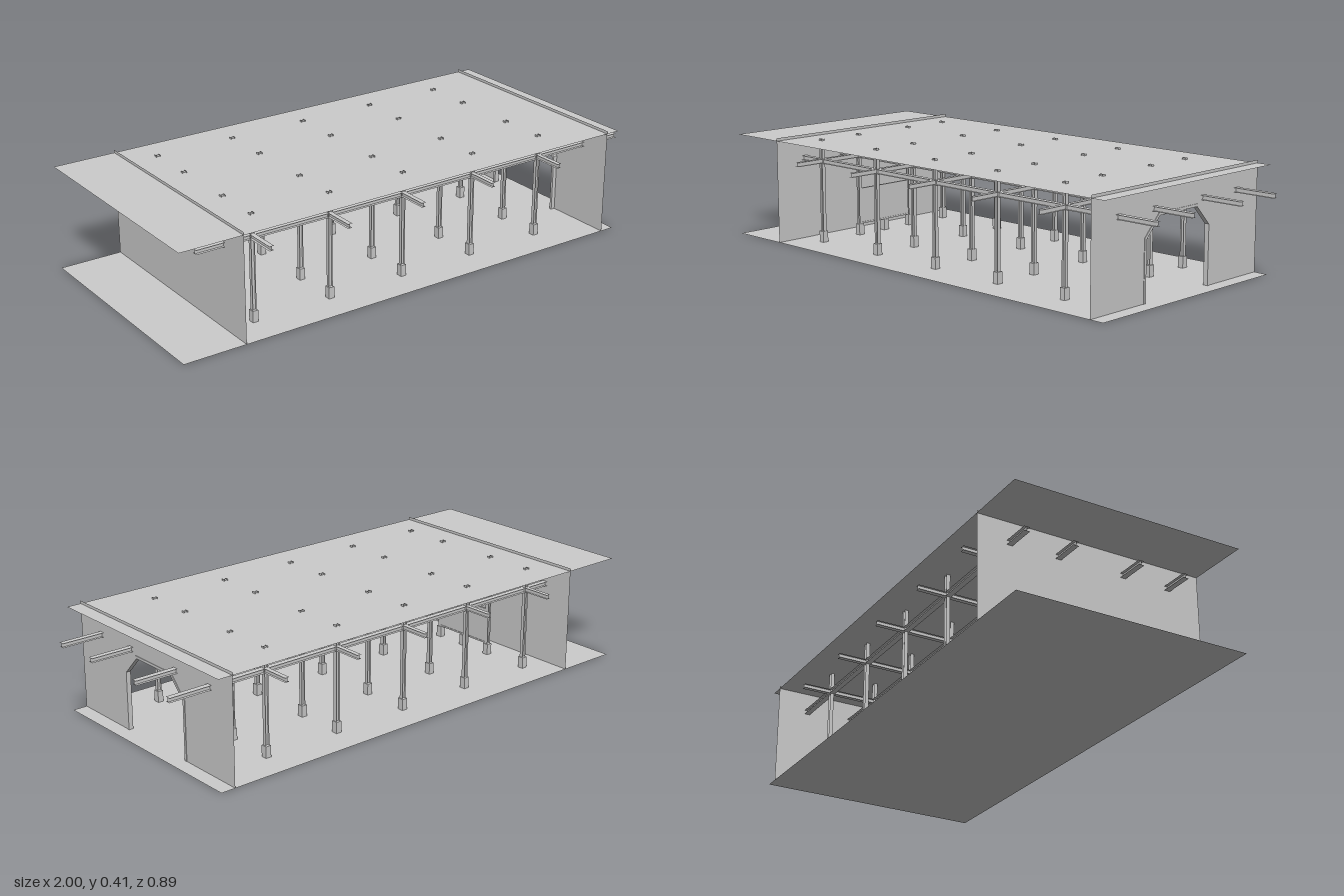
import * as THREE from 'three';
import { mergeGeometries } from 'three/addons/utils/BufferGeometryUtils.js';

const grey = new THREE.MeshStandardMaterial({ color: 0xcccccc, side: THREE.DoubleSide, flatShading: true });
const light = new THREE.MeshStandardMaterial({ color: 0xffffff });

// Thin-sheet I section running along x: two flanges and a web, open at the ends
function iSection(length, width, height) {
  const flange = y => new THREE.PlaneGeometry(length, width).rotateX(-Math.PI / 2).translate(0, y, 0);
  return mergeGeometries([flange(height / 2), flange(-height / 2), new THREE.PlaneGeometry(length, height)]);
}

// Half-hexagon-topped arch outline in (z, y), as a closed list of points
function archPoints(half, shoulder, topHalf, top) {
  return [[-half, 0], [half, 0], [half, shoulder], [topHalf, top], [-topHalf, top], [-half, shoulder]]
    .map(([a, b]) => new THREE.Vector2(a, b));
}

export function createModel() {
  const group = new THREE.Group();
  const add = (name, geometry, x, y, z, material = grey) => {
    const mesh = new THREE.Mesh(geometry, material);
    mesh.name = name;
    mesh.position.set(x, y, z);
    group.add(mesh);
    return mesh;
  };

  const rowsX = [-0.65, -0.336, -0.022, 0.292, 0.606];
  const rowsZ = [0.315, 0.13, -0.132, -0.322];
  const roofY = 0.397, beamY = 0.318, wallTop = 0.408, wallHalf = 0.447;

  // Floor and roof sheets
  const slab = new THREE.PlaneGeometry(1.89, 0.894).rotateX(-Math.PI / 2);
  add('floor', slab, -0.055, 0, 0);
  add('roof', slab, -0.055, roofY, 0);

  // Solid end wall
  add('rearWall', new THREE.PlaneGeometry(wallHalf * 2, wallTop).rotateY(Math.PI / 2), -0.76, wallTop / 2, 0);

  // End wall with the arched doorway
  const outer = archPoints(0.178, 0.224, 0.104, 0.3);
  const inner = archPoints(0.168, 0.219, 0.1, 0.29);
  const wall = new THREE.Shape([
    new THREE.Vector2(-wallHalf, 0), ...[0, 5, 4, 3, 2, 1].map(i => outer[i]),
    new THREE.Vector2(wallHalf, 0), new THREE.Vector2(wallHalf, wallTop), new THREE.Vector2(-wallHalf, wallTop),
  ]);
  add('doorwayWall', new THREE.ShapeGeometry(wall).rotateY(Math.PI / 2), 0.834, 0, 0);

  // Arched door frame, open at the floor
  const frame = new THREE.Shape([...[0, 5, 4, 3, 2, 1].map(i => outer[i]), ...[1, 2, 3, 4, 5, 0].map(i => inner[i])]);
  const frameGeometry = new THREE.ExtrudeGeometry(frame, { depth: 0.018, bevelEnabled: false }).rotateY(Math.PI / 2);
  add('doorFrame', frameGeometry, 0.818, 0, 0);

  // Posts on square footings
  const postGeometry = iSection(0.404, 0.015, 0.015).rotateZ(Math.PI / 2);
  const footing = new THREE.BoxGeometry(0.022, 0.043, 0.024);
  for (const x of rowsX) for (const z of rowsZ) {
    add('post', postGeometry, x, 0.202, z);
    add('footing', footing, x, 0.0215, z);
  }

  // Long beams along the hall and cross beams over each post row
  const longBeam = iSection(1.87, 0.022, 0.016);
  const crossBeam = iSection(0.88, 0.018, 0.016).rotateY(Math.PI / 2);
  for (const z of rowsZ) add('longBeam', longBeam, 0.065, beamY, z);
  for (const x of rowsX) add('crossBeam', crossBeam, x, beamY, 0);

  // Light display board between the innermost posts, on a middle footing
  add('boardFooting', footing, rowsX[0], 0.0215, 0);
  add('boardSill', new THREE.BoxGeometry(0.012, 0.006, 0.25), rowsX[0], 0.046, 0);
  add('displayBoard', new THREE.BoxGeometry(0.008, 0.136, 0.25), rowsX[0], 0.117, 0, light);

  return group;
}
